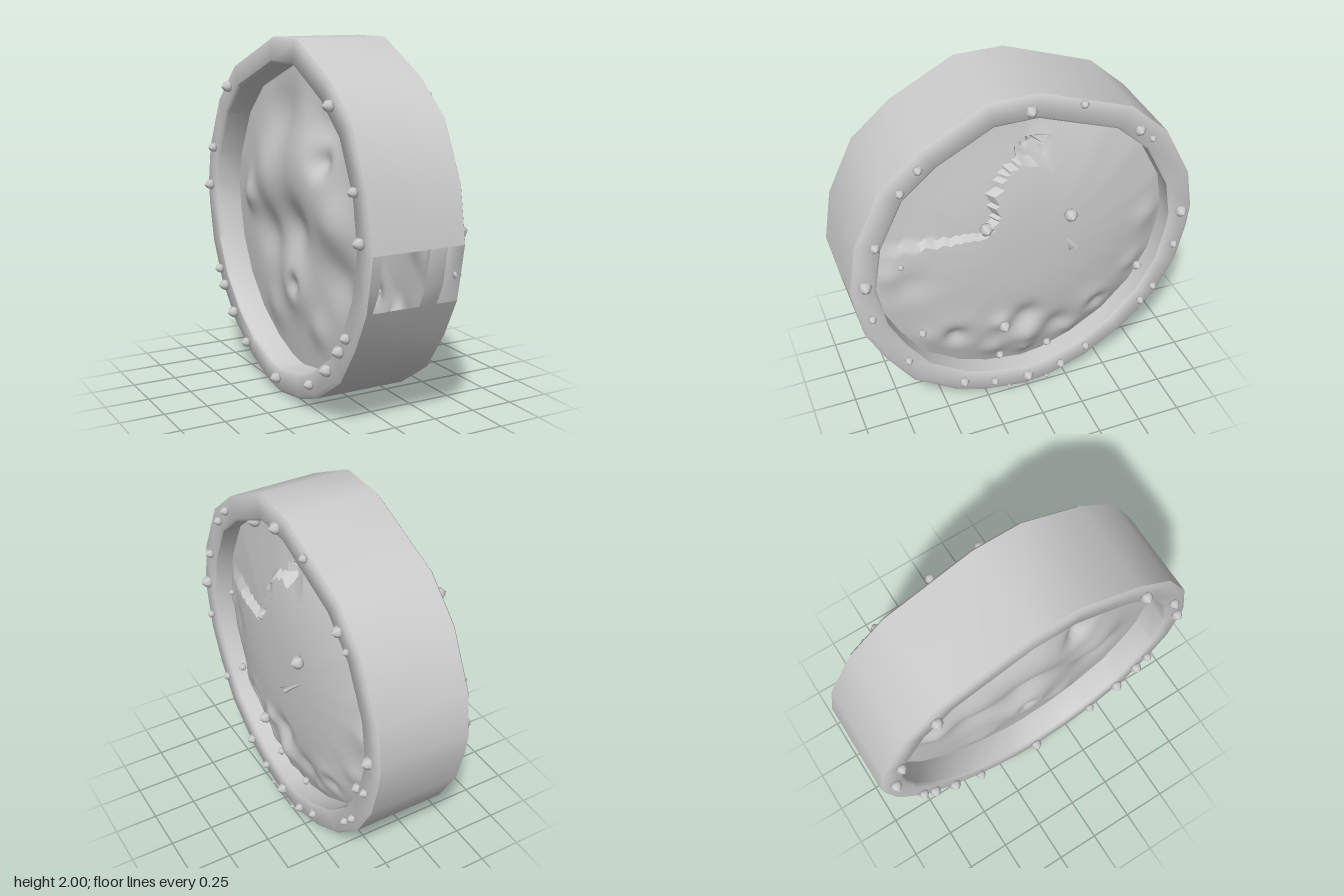
import * as THREE from 'three';
import { toCreasedNormals } from 'three/addons/utils/BufferGeometryUtils.js';

// battered rim outline as [z, y], clockwise seen from +x
const OUTLINE = [
  [0.22, 2], [-0.06, 2], [-0.58, 1.81], [-0.8, 1.61], [-0.96, 1.3], [-1, 1.06], [-0.985, 0.92], [-0.935, 0.7],
  [-0.81, 0.46], [-0.61, 0.25], [-0.37, 0.1], [-0.15, 0.02], [0, 0], [0.25, 0.04], [0.44, 0.11], [0.69, 0.28],
  [0.84, 0.5], [0.945, 0.71], [1, 1.01], [0.95, 1.31], [0.8, 1.62], [0.58, 1.81],
];
const WINDOW = 17;      // outline segment left open at the front
const INNER = 0.86;     // inner edge of the rim relative to the outline

const material = new THREE.MeshStandardMaterial({ color: 0xcccccc, side: THREE.DoubleSide });

// closed ring of quads: nu steps around, nv steps across
function ringSurface(nu, nv, point, flip, skip = () => false) {
  const pos = [], index = [];
  for (let i = 0; i < nu; i++) for (let j = 0; j <= nv; j++) pos.push(...point(i, j));
  for (let i = 0; i < nu; i++) for (let j = 0; j < nv; j++) {
    if (skip(i, j)) continue;
    const n = ((i + 1) % nu) * (nv + 1) + j, a = i * (nv + 1) + j;
    if (flip) index.push(a, a + 1, n, a + 1, n + 1, n);
    else index.push(a, n, a + 1, a + 1, n, n + 1);
  }
  const g = new THREE.BufferGeometry();
  g.setAttribute('position', new THREE.Float32BufferAttribute(pos, 3));
  g.setIndex(index);
  g.computeVertexNormals();
  return g;
}

function addMesh(parent, geometry, name) {
  const mesh = new THREE.Mesh(geometry, material);
  mesh.name = name;
  parent.add(mesh);
  return mesh;
}

// point on the outline, scaled about the hub at y = 1
function outlineAt(t, scale) {
  const n = OUTLINE.length, k = Math.floor(t) % n, f = t - Math.floor(t);
  const a = OUTLINE[k], b = OUTLINE[(k + 1) % n];
  return [(a[0] + (b[0] - a[0]) * f) * scale, 1 + (a[1] + (b[1] - a[1]) * f - 1) * scale];
}

// sum of round bumps and dents given as [z, y, radius, height]
const bumps = (list, z, y) => list.reduce(
  (s, [bz, by, r, h]) => s + h * Math.exp(-((z - bz) ** 2 + (y - by) ** 2) / (r * r)), 0);

// cracked and sunken patch, bounded by a jagged line down from the top
const CRACK = [[1.9, -0.05], [1.72, -0.05], [1.6, 0.02], [1.55, 0.12], [1.47, 0.16], [1.42, 0.2], [1.3, 0.18], [1.19, 0.24]];
function sunken(z, y) {
  for (let i = 0; i < CRACK.length - 1; i++) {
    const [y0, z0] = CRACK[i], [y1, z1] = CRACK[i + 1];
    if (y <= y0 && y > y1) return z > z0 + (z1 - z0) * (y0 - y) / (y0 - y1);
  }
  return false;
}

const RIGHT_DENTS = [
  [0.42, 0.49, 0.07, -0.07], [0.42, 0.49, 0.14, 0.03], [-0.46, 0.47, 0.06, -0.06], [-0.46, 0.47, 0.13, 0.04],
  [0, 0.38, 0.1, 0.045], [0.16, 0.55, 0.06, 0.03], [0, 0.55, 0.08, -0.035], [-0.2, 0.4, 0.08, -0.03],
  [0.2, 0.32, 0.07, 0.03], [0, 0.25, 0.05, 0.03], [-0.3, 0.3, 0.06, 0.03], [0.6, 0.5, 0.07, 0.03],
  [-0.78, 1.02, 0.09, 0.03], [-0.68, 0.7, 0.07, 0.03], [0.8, 1, 0.07, 0.03], [0.65, 0.95, 0.1, -0.02],
];
const LEFT_DENTS = [
  [0.1, 1.3, 0.3, -0.06], [-0.35, 1.2, 0.2, -0.05], [0.35, 1.55, 0.15, 0.07], [0.3, 1.35, 0.07, 0.06],
  [0, 0.95, 0.15, 0.06], [-0.35, 0.85, 0.16, 0.05], [0.45, 1.05, 0.16, -0.05], [0, 0.62, 0.06, 0.05],
  [0, 0.62, 0.15, -0.05], [-0.6, 1.05, 0.1, -0.05], [-0.2, 1.6, 0.2, 0.05], [0.5, 0.75, 0.14, 0.04],
  [-0.3, 0.4, 0.12, -0.03], [0.25, 0.4, 0.1, -0.03],
];

// crumpled sheet metal face, closing the rim
function panel(depthAt, flip) {
  const per = 6, rings = 40;
  return ringSurface(OUTLINE.length * per, rings, (i, j) => {
    const r = j / rings, [z, y] = outlineAt(i / per, INNER * r);
    return [depthAt(r, z, y), y, z];
  }, flip);
}

// rivets as [z, y, radius]
const RIGHT_RIVETS = [
  [0, 1.92, 0.035], [-0.29, 1.9, 0.025], [-0.62, 1.67, 0.032], [-0.7, 1.6, 0.02], [-0.925, 1.06, 0.036],
  [-0.9, 0.83, 0.025], [-0.79, 0.545, 0.024], [-0.715, 0.455, 0.024], [-0.37, 0.2, 0.025], [-0.21, 0.11, 0.028],
  [0, 0.085, 0.034], [0.21, 0.11, 0.025], [0.4, 0.175, 0.03], [0.6, 1.715, 0.026], [0.7, 1.6, 0.026],
  [0.85, 1.3, 0.028], [0.92, 1.06, 0.038], [0.9, 0.83, 0.025], [0.72, 0.46, 0.025], [0.12, 0.04, 0.012], [-0.12, 0.04, 0.012],
];
const PANEL_RIVETS = [
  [0.235, 1.225, 0.04], [-0.235, 1.225, 0.04], [0.455, 1.7, 0.04], [0.71, 1.085, 0.018],
  [-0.715, 0.67, 0.03], [0.155, 0.55, 0.035], [0.615, 0.58, 0.025], [0.15, 0.24, 0.025], [-0.15, 0.24, 0.025],
];
const LEFT_RIVETS = [
  [-0.62, 1.69, 0.035], [0.62, 1.69, 0.035], [0.86, 1.3, 0.03], [-0.86, 1.3, 0.03], [0.92, 1.06, 0.034], [-0.92, 1.06, 0.034],
  [-0.79, 0.55, 0.03], [0.79, 0.55, 0.03], [0.72, 0.46, 0.035], [-0.72, 0.46, 0.035], [0.59, 0.32, 0.036], [-0.59, 0.32, 0.036],
  [0.4, 0.18, 0.03], [-0.41, 0.18, 0.03], [0, 0.09, 0.034],
];

export function createModel() {
  const model = new THREE.Group();
  model.name = 'batteredDrum';

  // rim: hollow band with rounded edges, as [scale, x]
  const profile = [[INNER, -0.15], [INNER, -0.295], [0.875, -0.31], [0.98, -0.31], [1, -0.295],
    [1, 0.235], [0.98, 0.25], [0.875, 0.25], [INNER, 0.238], [INNER, 0.13]];
  const rim = ringSurface(OUTLINE.length, profile.length - 1, (i, j) => {
    const [z, y] = outlineAt(i, profile[j][0]);
    return [profile[j][1], y, z];
  }, true, (i, j) => i === WINDOW && j === 4);
  addMesh(model, toCreasedNormals(rim, 0.8), 'rim');

  // faces
  const rightDepth = (r, z, y) => 0.262 - 0.13 * r ** 2.6 + bumps(RIGHT_DENTS, z, y) * (1 - r ** 8)
    - (sunken(z, y) ? 0.045 * (1 - r ** 6) : 0)
    - (Math.hypot(z + 0.03, y - 1.63) < 0.06 ? 0.08 : 0);
  const leftDepth = (r, z, y) => -0.2 + 0.05 * r ** 2 + bumps(LEFT_DENTS, z, y) * (1 - r ** 6);
  addMesh(model, toCreasedNormals(panel(rightDepth, false), 0.9), 'rightPanel');
  addMesh(model, toCreasedNormals(panel(leftDepth, true), 0.9), 'leftPanel');

  // rivets: six-sided studs with a slight point
  const stud = new THREE.LatheGeometry(
    [[0, -0.8], [0.8, -0.5], [1, 0], [0.8, 0.5], [0.4, 0.85], [0, 1.15]].map(([x, y]) => new THREE.Vector2(x, y)), 6);
  stud.rotateZ(-Math.PI / 2);
  function rivets(name, list, xAt, side) {
    const group = new THREE.Group();
    group.name = name;
    for (const [z, y, r] of list) {
      const m = addMesh(group, stud, 'rivet');
      m.position.set(xAt(z, y), y, z);
      m.scale.set(r, r, r);
      if (side < 0) m.rotation.y = Math.PI;
    }
    model.add(group);
  }
  rivets('rightRimRivets', RIGHT_RIVETS, () => 0.262, 1);
  rivets('leftRimRivets', LEFT_RIVETS, () => -0.325, -1);
  rivets('panelRivets', PANEL_RIVETS, (z, y) => rightDepth(Math.hypot(z, y - 1) / INNER, z, y) + 0.02, 1);

  // bent flap beside the hole near the top, and a loose splinter
  const flap = new THREE.Shape([[0.02, 1.68], [-0.06, 1.73], [-0.15, 1.71], [-0.2, 1.57], [-0.14, 1.5], [-0.05, 1.57], [-0.09, 1.63], [-0.06, 1.68]]
    .map(([z, y]) => new THREE.Vector2(-z, y)));
  const flapGeometry = new THREE.ShapeGeometry(flap);
  flapGeometry.rotateY(Math.PI / 2);
  const flapPos = flapGeometry.attributes.position;
  for (let i = 0; i < flapPos.count; i++) {
    const y = flapPos.getY(i), z = flapPos.getZ(i);
    flapPos.setX(i, rightDepth(Math.hypot(z, y - 1) / INNER, z, y) + 0.008);
  }
  flapGeometry.computeVertexNormals();
  addMesh(model, flapGeometry, 'tornFlap');

  const splinter = addMesh(model, new THREE.ConeGeometry(0.035, 0.11, 3), 'splinter');
  splinter.rotation.z = Math.PI / 2;
  splinter.scale.set(0.3, 1, 1);
  splinter.position.set(0.305, 1.06, -0.225);

  return model;
}
